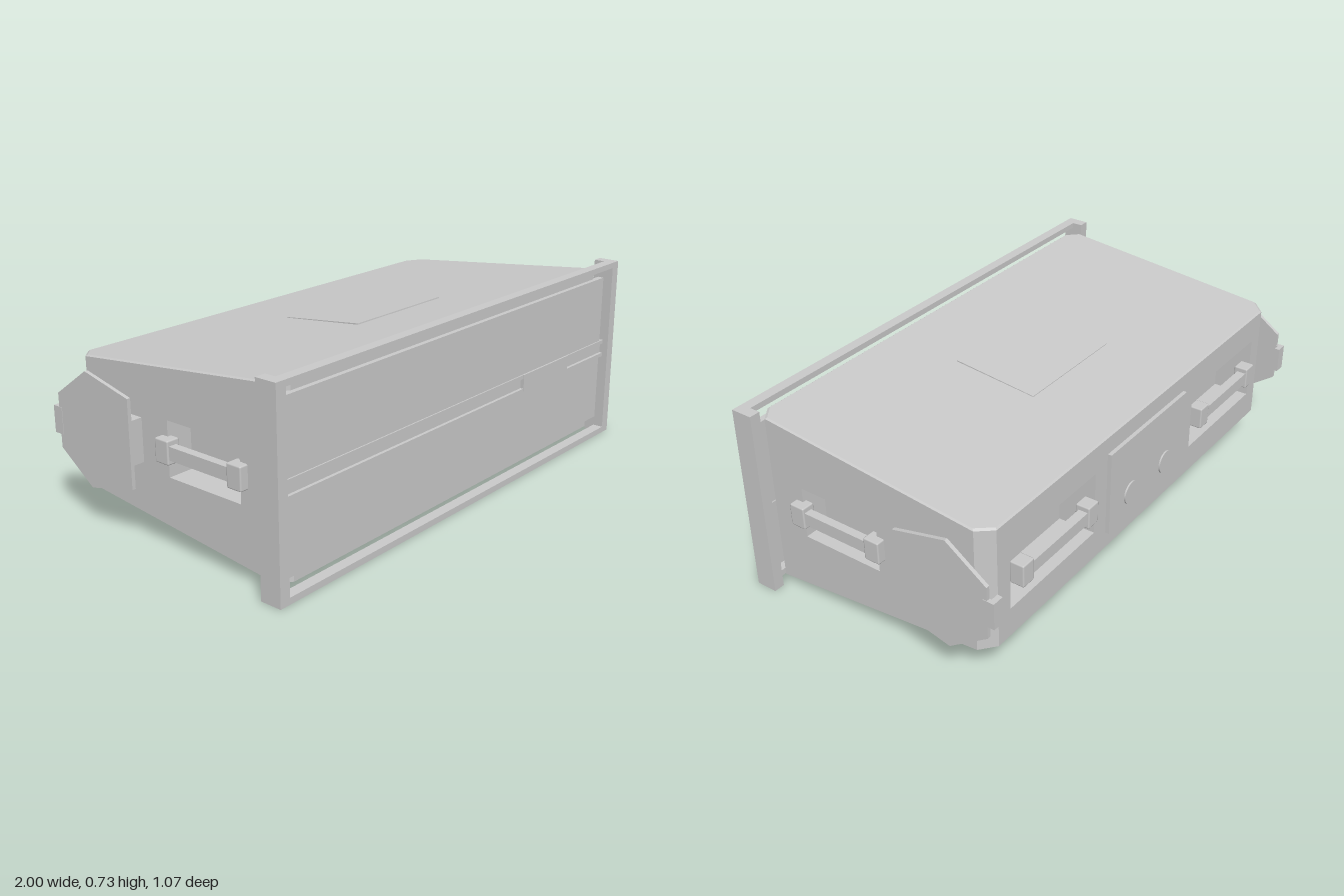
import * as THREE from 'three';
import { RoundedBoxGeometry } from 'three/addons/geometries/RoundedBoxGeometry.js';

const grey = new THREE.MeshStandardMaterial({ color: 0xcacaca });
grey.name = 'light grey';

const group = (name, parent) => {
  const g = new THREE.Group();
  g.name = name;
  parent.add(g);
  return g;
};

function add(parent, name, geometry) {
  const m = new THREE.Mesh(geometry, grey);
  m.name = name;
  parent.add(m);
  return m;
}

// Box given by its limits on each axis, with optional softened edges
function box(parent, name, x0, x1, y0, y1, z0, z1, soft = 0) {
  const size = [Math.abs(x1 - x0), y1 - y0, z1 - z0];
  const g = soft ? new RoundedBoxGeometry(...size, 1, soft) : new THREE.BoxGeometry(...size);
  g.translate((x0 + x1) / 2, (y0 + y1) / 2, (z0 + z1) / 2);
  return add(parent, name, g);
}

// Inward-facing box without the face at index "open" (+x -x +y -y +z -z)
function recess(parent, name, x0, x1, y0, y1, z0, z1, open) {
  const src = new THREE.BoxGeometry(x1 - x0, y1 - y0, z1 - z0);
  src.translate((x0 + x1) / 2, (y0 + y1) / 2, (z0 + z1) / 2);
  const idx = Array.from(src.index.array).filter((_, i) => Math.floor(i / 6) !== open);
  src.setIndex(idx.reverse());
  const g = src.toNonIndexed();
  g.computeVertexNormals();
  add(parent, name, g);
}

// Tapered body outline in plan (x, z) and its sloping top and bottom
const plan = [[0.89, 0.487], [0.94, 0.45], [0.94, -0.415], [0.89, -0.465],
  [-0.89, -0.465], [-0.94, -0.415], [-0.94, 0.45], [-0.89, 0.487]];
const topY = z => 0.649 + 0.104 * z;
const bottomY = z => 0.081 - 0.104 * z;
const BEVEL = 0.005;

// Upright wall from a to b with rectangular holes [u0, u1, y0, y1]
function wall(a, b, holes) {
  const dx = b[0] - a[0], dz = b[1] - a[1], len = Math.hypot(dx, dz);
  const s = new THREE.Shape([
    new THREE.Vector2(0, bottomY(a[1]) + BEVEL), new THREE.Vector2(len, bottomY(b[1]) + BEVEL),
    new THREE.Vector2(len, topY(b[1]) - BEVEL), new THREE.Vector2(0, topY(a[1]) - BEVEL)]);
  for (const [u0, u1, y0, y1] of holes) {
    s.holes.push(new THREE.Path([[u0, y0], [u0, y1], [u1, y1], [u1, y0]]
      .map(p => new THREE.Vector2(...p))));
  }
  const g = new THREE.ShapeGeometry(s);
  g.rotateY(Math.atan2(-dz, dx));
  g.translate(a[0], 0, a[1]);
  return g;
}

// Top and bottom caps with a narrow bevel round the edge
function caps() {
  const v = [];
  const outer = (p, up) => [p[0], up ? topY(p[1]) - BEVEL : bottomY(p[1]) + BEVEL, p[1]];
  const inner = (p, up) => {
    const x = p[0] - 0.006 * Math.sign(p[0]), z = p[1] - 0.006 * Math.sign(p[1]);
    return [x, up ? topY(z) : bottomY(z), z];
  };
  const tri = (a, b, c, up) => v.push(...(up ? [a, b, c] : [a, c, b]).flat());
  for (const up of [true, false]) {
    plan.forEach((p, i) => {
      const q = plan[(i + 1) % 8];
      tri(outer(p, up), outer(q, up), inner(q, up), up);
      tri(outer(p, up), inner(q, up), inner(p, up), up);
      if (i > 0 && i < 7) tri(inner(plan[0], up), inner(p, up), inner(q, up), up);
    });
  }
  const g = new THREE.BufferGeometry();
  g.setAttribute('position', new THREE.Float32BufferAttribute(v, 3));
  g.computeVertexNormals();
  return g;
}

export function createModel() {
  const model = new THREE.Group();
  model.name = 'equipmentCase';

  // Body shell
  const body = group('body', model);
  const holes = {
    1: [[0.135, 0.465, 0.265, 0.465]],
    3: [[0.065, 0.555, 0.245, 0.49], [1.225, 1.715, 0.245, 0.49]],
    5: [[0.4, 0.73, 0.265, 0.465]],
  };
  plan.forEach((p, i) => add(body, 'bodyWall', wall(p, plan[(i + 1) % 8], holes[i] || [])));
  add(body, 'bodyCaps', caps());

  // Front panels above and below the locking bar
  box(body, 'lowerFrontPanel', -0.938, 0.938, 0.07, 0.335, 0.48, 0.505);
  box(body, 'upperFrontPanel', -0.938, 0.938, 0.395, 0.665, 0.48, 0.505);

  // Raised label plate on the sloping lid, sinking in towards the back
  const lid = add(body, 'lidPlate', new THREE.BoxGeometry(0.475, 0.006, 0.34));
  lid.position.set(0, topY(0.03) + 0.0005, 0.03);
  lid.rotation.x = -Math.atan(0.104) - 0.006;

  // Front frame
  const frame = group('frontFrame', model);
  box(frame, 'frameTop', -1, 1, 0.705, 0.727, 0.492, 0.533);
  box(frame, 'frameBottom', -1, 1, 0, 0.024, 0.492, 0.533);
  for (const s of [-1, 1]) {
    box(frame, 'framePost', s * 0.958, s, 0, 0.727, 0.45, 0.533);
  }

  // Locking bar across the front with slim rails and a latch
  const bar = group('lockingBar', model);
  box(bar, 'barWeb', -0.958, 0.958, 0.345, 0.385, 0.484, 0.498);
  box(bar, 'barRail', -0.958, 0.958, 0.33, 0.345, 0.484, 0.51);
  box(bar, 'barRail', -0.958, 0.958, 0.385, 0.4, 0.484, 0.51);
  box(bar, 'latch', 0.36, 0.675, 0.335, 0.4, 0.484, 0.512);

  // Corner guard outline as (-z, y)
  const guardShape = new THREE.Shape([[0.138, 0.205], [0.35, 0.155], [0.505, 0.265],
    [0.505, 0.465], [0.35, 0.575], [0.138, 0.525]].map(p => new THREE.Vector2(...p)));

  for (const s of [-1, 1]) {
    // Side carrying handle in its recess
    const side = group(s > 0 ? 'leftHandle' : 'rightHandle', model);
    const [x0, x1] = s > 0 ? [0.84, 0.94] : [-0.94, -0.84];
    recess(side, 'handleRecess', x0, x1, 0.265, 0.465, -0.015, 0.315, s > 0 ? 0 : 1);
    for (const z of [-0.045, 0.285]) {
      box(side, 'handleMount', s * 0.92, s * 0.972, 0.323, 0.409, z, z + 0.063, 0.006);
    }
    box(side, 'handleGrip', s * 0.935, s * 0.966, 0.342, 0.39, 0.01, 0.295);

    // Corner guard plate, its spacers and the hooked tab
    const guard = group(s > 0 ? 'leftGuard' : 'rightGuard', model);
    const g = new THREE.ExtrudeGeometry(guardShape, { depth: 0.014, bevelEnabled: false });
    g.rotateY(Math.PI / 2);
    g.translate(s > 0 ? 0.984 : -0.998, 0, 0);
    add(guard, 'guardPlate', g);
    for (const z of [-0.42, -0.225]) {
      box(guard, 'guardSpacer', s * 0.92, s * 0.985, 0.287, 0.445, z, z + 0.085);
    }
    box(guard, 'guardTab', s * 0.984, s, 0.315, 0.415, -0.533, -0.49);
    box(guard, 'guardHook', s * 0.955, s, 0.315, 0.415, -0.533, -0.513);

    // Back handle in its recess
    const back = group('backHandle', model);
    const [b0, b1] = s > 0 ? [0.335, 0.825] : [-0.825, -0.335];
    recess(back, 'backRecess', b0, b1, 0.245, 0.49, -0.465, -0.32, 5);
    for (const x of [0.36, 0.737]) {
      box(back, 'backMount', s * x, s * (x + 0.06), 0.323, 0.409, -0.497, -0.44, 0.006);
    }
    box(back, 'backGrip', s * 0.41, s * 0.75, 0.342, 0.39, -0.491, -0.455);
  }

  // Back service plate with two round caps
  const service = group('servicePlate', model);
  box(service, 'plate', -0.26, 0.26, 0.2, 0.53, -0.48, -0.46);
  for (const x of [-0.12, 0.12]) {
    const cap = add(service, 'roundCap', new THREE.CylinderGeometry(0.045, 0.045, 0.012, 32));
    cap.rotation.x = Math.PI / 2;
    cap.position.set(x, 0.3, -0.48);
  }
  return model;
}
